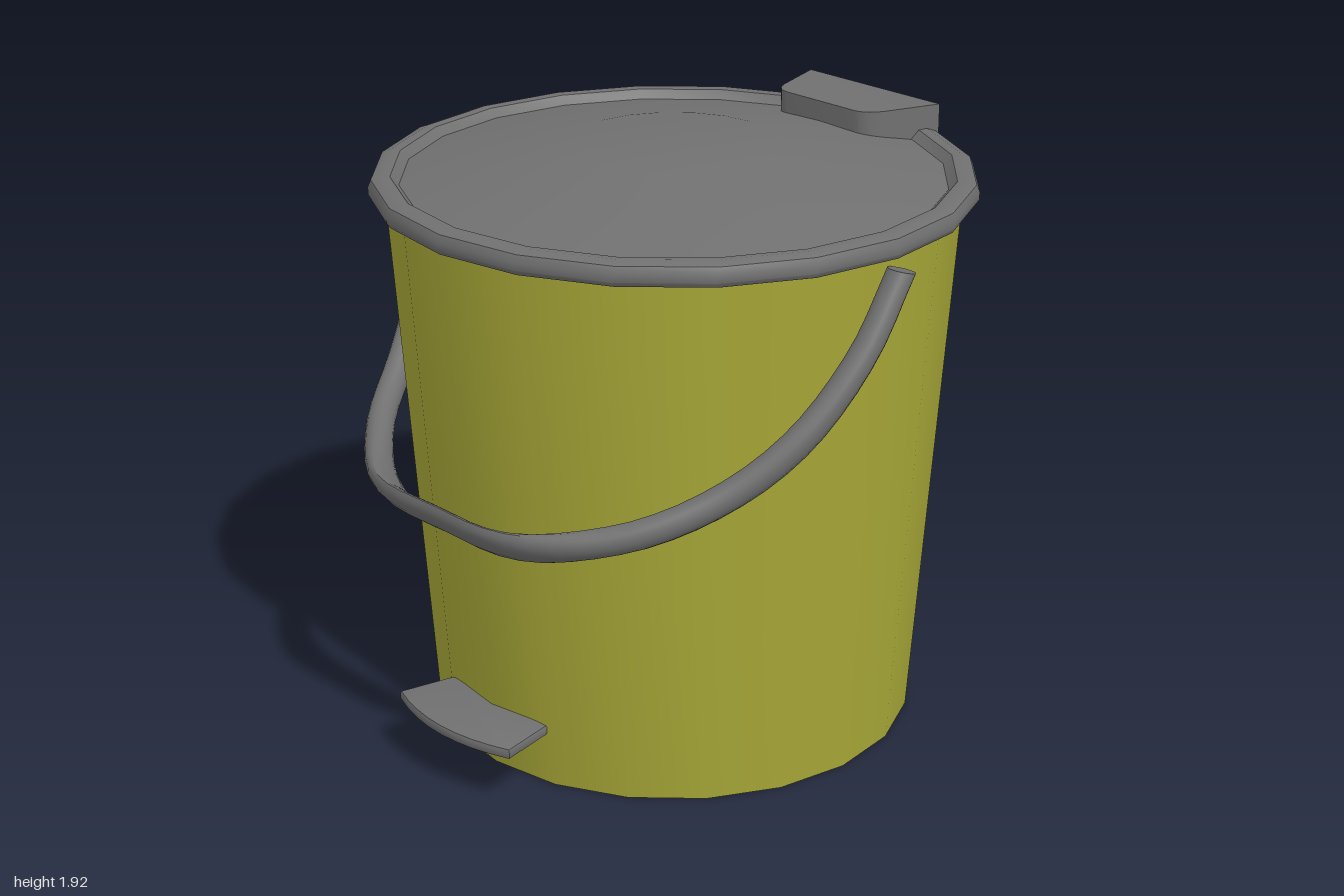
import * as THREE from 'three';
import { toCreasedNormals } from 'three/addons/utils/BufferGeometryUtils.js';

const CZ = -0.025; // axis of the bucket
const SIDES = 20;
const green = new THREE.MeshStandardMaterial({ color: 0xa8a838 });
const grey = new THREE.MeshStandardMaterial({ color: 0x707070 });

function addMesh(group, name, geometry, material) {
  const mesh = new THREE.Mesh(geometry, material);
  mesh.name = name;
  group.add(mesh);
  return mesh;
}

function lathe(profile, crease) {
  const points = profile.map(([r, y]) => new THREE.Vector2(r, y));
  const geo = toCreasedNormals(new THREE.LatheGeometry(points, SIDES), crease);
  return geo.translate(0, 0, CZ);
}

// Flat plate: outline drawn in x / -z, raised from y0 by its height
function plate(shape, y0, height, bevel = 0) {
  const geo = new THREE.ExtrudeGeometry(shape, {
    depth: height - 2 * bevel, bevelEnabled: bevel > 0, bevelSize: bevel,
    bevelOffset: -bevel, bevelThickness: bevel, bevelSegments: 2, curveSegments: 8,
  });
  return geo.rotateX(-Math.PI / 2).translate(0, y0 + bevel, 0);
}

// Swept bail: a round tube that widens into a half-round grip in the middle
function handleGeometry() {
  const half = [
    [0.955, 1.73, -0.043], [0.95, 1.5, 0.11], [0.89, 1.27, 0.3], [0.78, 1.11, 0.48],
    [0.62, 0.995, 0.70], [0.4, 0.935, 0.87], [0.24, 0.92, 0.922],
  ];
  const mirrored = half.map(([x, y, z]) => [-x, y, z]).reverse();
  const path = new THREE.CatmullRomCurve3(
    [...half, [0, 0.92, 0.928], ...mirrored].map((p) => new THREE.Vector3(...p)));
  const rings = 48, around = 16, pos = [], index = [];
  for (let i = 0; i <= rings; i++) {
    const u = i / rings;
    const c = path.getPointAt(u), t = path.getTangentAt(u);
    const end = 1 - THREE.MathUtils.smoothstep(Math.min(u, 1 - u), 0, 0.2);
    const grip = 1 - THREE.MathUtils.smoothstep(Math.abs(c.x), 0.2, 0.6);
    const wide = new THREE.Vector3(0, 0.68, 0.73).lerp(new THREE.Vector3(0, 0.25, 0.97), end).normalize();
    const out = new THREE.Vector3().crossVectors(wide, t).normalize();
    const a = 0.05 - 0.007 * end + 0.034 * grip;
    for (let j = 0; j < around; j++) {
      const w = (j / around) * Math.PI * 2, s = Math.sin(w);
      const inward = out.y * s > 0 || (Math.abs(out.y) < 0.05 && out.x * c.x * s < 0);
      const b = inward ? 0.045 - 0.033 * grip : 0.045;
      const p = c.clone().addScaledVector(wide, Math.cos(w) * a).addScaledVector(out, s * b);
      pos.push(p.x, p.y, p.z);
    }
  }
  for (let i = 0; i < rings; i++) {
    for (let j = 0; j < around; j++) {
      const k = (j + 1) % around;
      const p = i * around + j, q = i * around + k;
      index.push(p, p + around, q, q, p + around, q + around);
    }
  }
  // End caps
  const last = rings * around;
  for (let j = 1; j < around - 1; j++) {
    index.push(0, j, j + 1, last, last + j + 1, last + j);
  }
  const geo = new THREE.BufferGeometry();
  geo.setAttribute('position', new THREE.Float32BufferAttribute(pos, 3));
  geo.setIndex(index);
  return toCreasedNormals(geo, 0.9);
}

export function createModel() {
  const group = new THREE.Group();
  group.name = 'pedalBin';

  // Tapered bucket with closed bottom
  addMesh(group, 'bucket', lathe([[0, 0.004], [0.79, 0.004], [0.912, 1.77]], 0.6), green);

  // Lid: rounded rim, shallow groove, then a cone with a flat centre
  addMesh(group, 'lid', lathe([
    [0, 1.765], [0.93, 1.765], [0.955, 1.77], [0.965, 1.785], [0.965, 1.81], [0.955, 1.832],
    [0.925, 1.843], [0.895, 1.84], [0.868, 1.812], [0.335, 1.918], [0, 1.918],
  ], 0.6), grey);

  // Hinge block at the back of the lid
  const block = new THREE.Shape();
  block.moveTo(-0.293, 0.95);
  block.lineTo(-0.235, 0.775);
  block.quadraticCurveTo(-0.21, 0.69, -0.15, 0.69);
  block.lineTo(0.15, 0.69);
  block.quadraticCurveTo(0.21, 0.69, 0.235, 0.775);
  block.lineTo(0.293, 0.95);
  block.lineTo(0, 0.993);
  block.closePath();
  const hinge = plate(block, 1.8, 0.12);
  const hp = hinge.attributes.position;
  for (let i = 0; i < hp.count; i++) {
    if (hp.getZ(i) < -0.97 && hp.getY(i) > 1.9) hp.setY(i, 1.897);
  }
  hinge.computeVertexNormals();
  addMesh(group, 'hinge', toCreasedNormals(hinge, 0.5), grey);

  // Foot pedal with a bowed front edge
  const pad = new THREE.Shape();
  pad.moveTo(-0.23, -0.745);
  pad.lineTo(-0.27, -0.935);
  pad.quadraticCurveTo(0, -1.045, 0.27, -0.935);
  pad.lineTo(0.23, -0.745);
  pad.closePath();
  addMesh(group, 'pedal', toCreasedNormals(plate(pad, 0.183, 0.036, 0.008), 0.6), grey);

  addMesh(group, 'handle', handleGeometry(), grey);
  return group;
}
